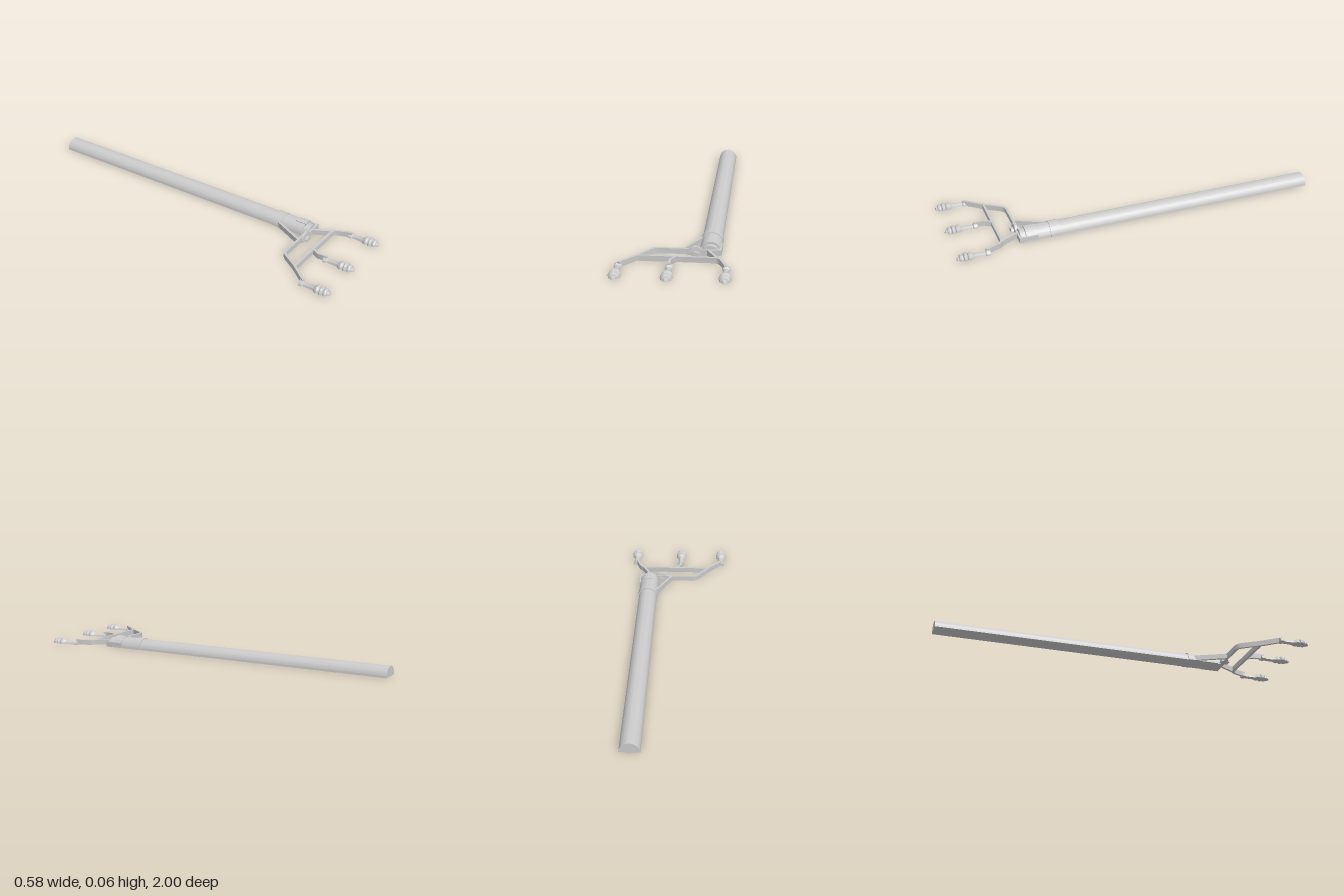
import * as THREE from 'three';
import { mergeGeometries, toCreasedNormals } from 'three/addons/utils/BufferGeometryUtils.js';

const material = new THREE.MeshStandardMaterial({ color: 0xcccccc });
const BAR_HEIGHT = 0.028;

function addMesh(group, name, geometry, x = 0, y = 0, z = 0) {
  const mesh = new THREE.Mesh(geometry, material);
  mesh.name = name;
  mesh.position.set(x, y, z);
  group.add(mesh);
  return mesh;
}

// Upper half of a turned shape lying along z, closed by a flat underside; profile is [radius, z]
function halfTurned(profile, segments = 28) {
  const points = profile.map(([r, z]) => new THREE.Vector2(r, z));
  const shell = new THREE.LatheGeometry(points, segments, Math.PI / 2, Math.PI);
  const mirrored = points.filter((p) => p.x > 0).reverse().map((p) => new THREE.Vector2(-p.x, p.y));
  const base = new THREE.ShapeGeometry(new THREE.Shape([...points, ...mirrored]));
  return toCreasedNormals(mergeGeometries([shell, base]).rotateX(Math.PI / 2), 0.6);
}

// Flat bar following a mitred polyline of [x, z] points
function flatBar(path, width = 0.013, height = BAR_HEIGHT) {
  const pts = path.map(([x, z]) => new THREE.Vector2(x, z));
  const left = [], right = [];
  pts.forEach((p, i) => {
    const a = p.clone().sub(pts[Math.max(i - 1, 0)]).normalize();
    const b = pts[Math.min(i + 1, pts.length - 1)].clone().sub(p).normalize();
    const dir = a.clone().add(b).normalize();
    const cosine = Math.max(dir.dot(i ? a : b), 0.5);
    const offset = new THREE.Vector2(-dir.y, dir.x).multiplyScalar(width / 2 / cosine);
    left.push(p.clone().add(offset));
    right.unshift(p.clone().sub(offset));
  });
  const geometry = new THREE.ExtrudeGeometry(new THREE.Shape([...left, ...right]), { depth: height, bevelEnabled: false });
  return toCreasedNormals(geometry.rotateX(Math.PI / 2).translate(0, height, 0), 0.6);
}

export function createModel() {
  const model = new THREE.Group();
  model.name = 'forkedTool';
  const axisX = 0.166;

  // Long half-round handle
  addMesh(model, 'handle', halfTurned([[0, -1], [0.052, -1], [0.052, 0.45], [0, 0.45]], 40), axisX);

  // Socket with its rear collar and stepped front end
  addMesh(model, 'socket', halfTurned([
    [0, 0.44], [0.057, 0.44], [0.057, 0.492], [0.0535, 0.492], [0.0535, 0.618],
    [0.046, 0.618], [0.046, 0.65], [0, 0.65],
  ], 40), axisX);

  // Clamp band wrapping one side of the socket
  const band = new THREE.Shape();
  band.absarc(0, 0, 0.0575, 0, 1.9, false);
  band.absarc(0, 0, 0.045, 1.9, 0, true);
  const bandGeometry = new THREE.ExtrudeGeometry(band, { depth: 0.06, bevelEnabled: false, curveSegments: 24 });
  addMesh(model, 'clampBand', toCreasedNormals(bandGeometry, 0.6), axisX, 0, 0.562);

  // Angle bracket at the foot of the socket
  const bracket = new THREE.Group();
  bracket.name = 'bracket';
  addMesh(bracket, 'bracketFront', new THREE.BoxGeometry(0.108, BAR_HEIGHT, 0.018), 0.169, BAR_HEIGHT / 2, 0.651);
  addMesh(bracket, 'bracketSide', new THREE.BoxGeometry(0.012, BAR_HEIGHT, 0.1), 0.217, BAR_HEIGHT / 2, 0.61);
  model.add(bracket);

  // Half-round wing bolt beside the bracket
  addMesh(model, 'bolt', halfTurned([
    [0, 0.629], [0.019, 0.629], [0.019, 0.643], [0.0435, 0.645], [0.0435, 0.659],
    [0.021, 0.661], [0.021, 0.675], [0, 0.675],
  ]), 0.096);

  // Bent bars of the fork frame
  const frame = new THREE.Group();
  frame.name = 'forkFrame';
  const bars = {
    brace: [[0.118, 0.478], [0.035, 0.645]],
    outerArm: [[0.16, 0.645], [-0.085, 0.645], [-0.107, 0.65], [-0.122, 0.664], [-0.178, 0.748], [-0.245, 0.828], [-0.257, 0.845]],
    crossbar: [[-0.178, 0.75], [0.198, 0.75], [0.215, 0.757], [0.227, 0.773], [0.248, 0.828], [0.252, 0.845]],
    innerArm: [[0.152, 0.645], [0.208, 0.752]],
    middleArm: [[0.006, 0.752], [-0.016, 0.79], [-0.014, 0.845]],
  };
  for (const [name, path] of Object.entries(bars)) addMesh(frame, name, flatBar(path));
  model.add(frame);

  // Three beaded tips
  const tip = halfTurned([
    [0, 0.827], [0.021, 0.827], [0.021, 0.845], [0.014, 0.851], [0.016, 0.905], [0.021, 0.914],
    [0.027, 0.922], [0.029, 0.93], [0.025, 0.939], [0.019, 0.942], [0.028, 0.945], [0.0315, 0.952],
    [0.029, 0.96], [0.02, 0.964], [0.026, 0.968], [0.027, 0.975], [0.023, 0.983], [0.015, 0.986],
    [0.013, 0.994], [0, 1],
  ], 24);
  ['rightTip', 'middleTip', 'leftTip'].forEach((name, i) => addMesh(model, name, tip, [-0.259, -0.015, 0.257][i]));

  return model;
}
